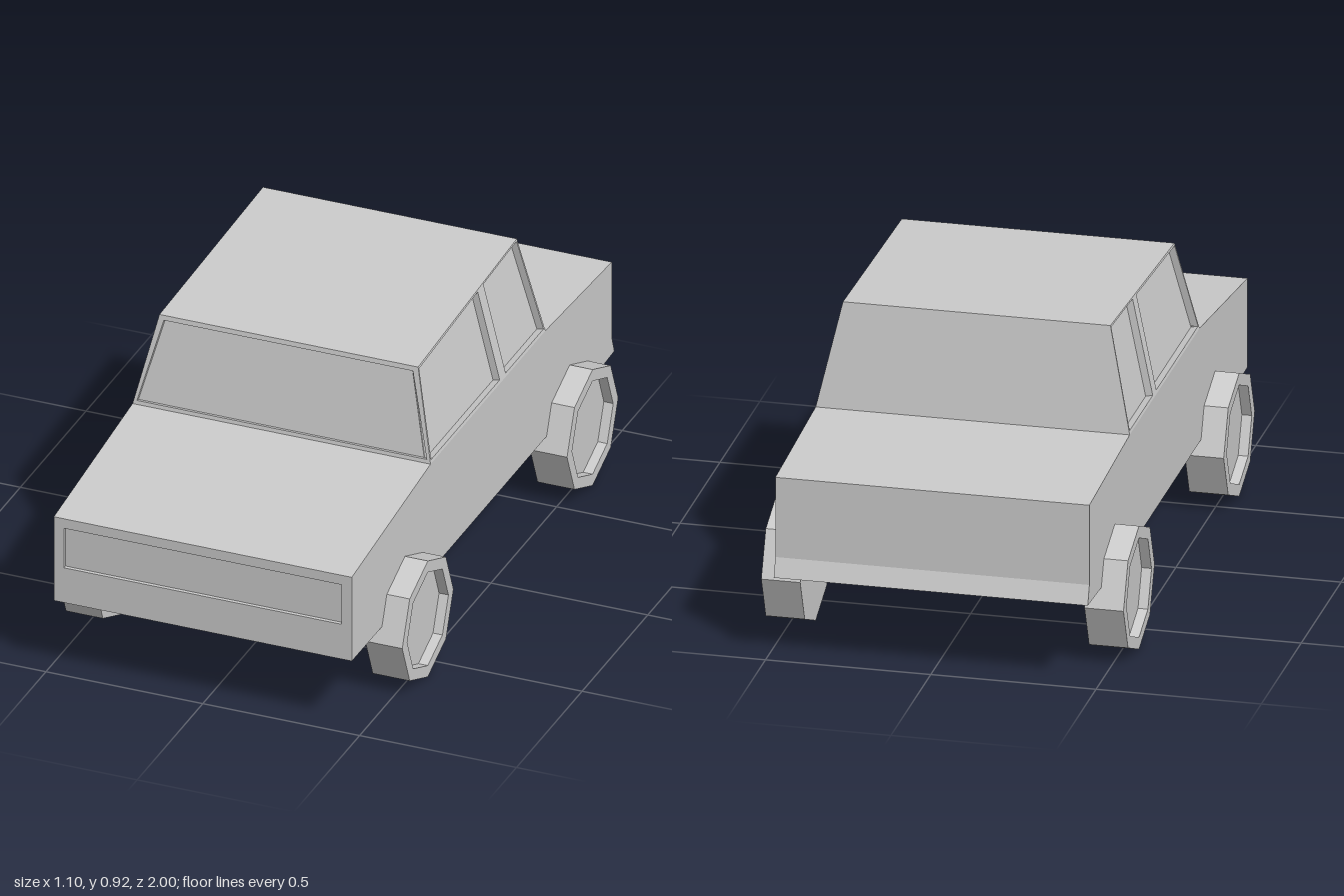
import * as THREE from 'three';
import { mergeGeometries } from 'three/addons/utils/BufferGeometryUtils.js';

const V = (x, y, z) => new THREE.Vector3(x, y, z);
const material = new THREE.MeshStandardMaterial({ color: 0xcccccc, flatShading: true });

// Flat polygon (corners counter-clockwise from outside) with recessed panels in it.
function panel(corners, holes = [], depth = 0.02) {
  const o = corners[0];
  const u = corners[1].clone().sub(o).normalize();
  const n = u.clone().cross(corners[corners.length - 1].clone().sub(o)).normalize();
  const v = n.clone().cross(u);
  const frame = new THREE.Matrix4().makeBasis(u, v, n).setPosition(o);
  const flat = (p) => {
    const d = p.clone().sub(o);
    return new THREE.Vector2(d.dot(u), d.dot(v));
  };
  const face = new THREE.Shape(corners.map(flat));
  const parts = [];
  for (const hole of holes) {
    const pts = hole.map(flat);
    face.holes.push(new THREE.Path(pts));
    parts.push(new THREE.ShapeGeometry(new THREE.Shape(pts)).translate(0, 0, -depth).toNonIndexed());
    // Walls running from the rim down to the recessed pane
    const walls = [];
    pts.forEach((a, i) => {
      const b = pts[(i + 1) % pts.length];
      walls.push(V(a.x, a.y, 0), V(b.x, b.y, 0), V(b.x, b.y, -depth));
      walls.push(V(a.x, a.y, 0), V(b.x, b.y, -depth), V(a.x, a.y, -depth));
    });
    parts.push(new THREE.BufferGeometry().setFromPoints(walls));
  }
  parts.push(new THREE.ShapeGeometry(face).toNonIndexed());
  parts.forEach((g) => { g.deleteAttribute('uv'); g.deleteAttribute('normal'); });
  const geometry = mergeGeometries(parts).applyMatrix4(frame);
  geometry.computeVertexNormals();
  return geometry;
}

function addMesh(parent, name, geometry) {
  const mesh = new THREE.Mesh(geometry, material);
  mesh.name = name;
  parent.add(mesh);
  return mesh;
}

// Mirror a list of points to the given side, keeping the winding outward.
const toSide = (pts, s) => {
  const out = pts.map((p) => V(p.x * s, p.y, p.z));
  return s > 0 ? out : out.reverse();
};

const W = 0.475;

function makeBody() {
  const body = new THREE.Group();
  body.name = 'body';
  // Side profile as [z, y]
  const profile = [
    [1, 0.245], [0.5, 0.24], [-0.55, 0.24], [-1, 0.262], [-0.98, 0.32],
    [-0.98, 0.572], [-0.475, 0.6], [0.4, 0.6], [1, 0.527],
  ];
  const names = ['frontUnderside', 'underside', 'rearUnderside', 'rearBumper', 'tailgate',
    'rearDeck', 'cabinFloor', 'hood', 'frontPanel'];
  const grille = [V(-0.443, 0.362, 1), V(0.443, 0.362, 1), V(0.443, 0.495, 1), V(-0.443, 0.495, 1)];
  profile.forEach(([z, y], i) => {
    const [z2, y2] = profile[(i + 1) % profile.length];
    const quad = [V(W, y, z), V(-W, y, z), V(-W, y2, z2), V(W, y2, z2)];
    addMesh(body, names[i], panel(quad, names[i] === 'frontPanel' ? [grille] : [], 0.012));
  });
  const side = profile.map(([z, y]) => V(W, y, z));
  addMesh(body, 'leftSide', panel(toSide(side, 1)));
  addMesh(body, 'rightSide', panel(toSide(side, -1)));
  return body;
}

function makeCabin() {
  const cabin = new THREE.Group();
  cabin.name = 'cabin';
  const onSide = ([z, y]) => V(W - (y - 0.6) * 0.22, y, z);
  const onFront = ([x, y]) => V(x, y, 0.4 - (y - 0.6) * 0.193);
  // Front bottom, rear bottom, rear top, front top of one side
  const side = [[0.4, 0.6], [-0.475, 0.6], [-0.425, 0.92], [0.345, 0.885]].map(onSide);
  const windows = [
    [[0.39, 0.61], [-0.132, 0.61], [-0.117, 0.9], [0.341, 0.878]],
    [[-0.177, 0.61], [-0.466, 0.61], [-0.42, 0.914], [-0.162, 0.903]],
  ].map((w) => w.map(onSide));
  const [fb, rb, rt, ft] = side;
  const flip = (p) => V(-p.x, p.y, p.z);
  for (const s of [1, -1]) {
    addMesh(cabin, s > 0 ? 'leftWindows' : 'rightWindows',
      panel(toSide(side, s), windows.map((w) => toSide(w, s)), 0.022));
  }
  const windshield = [[-0.462, 0.612], [0.462, 0.612], [0.397, 0.87], [-0.397, 0.87]].map(onFront);
  addMesh(cabin, 'windshield', panel([flip(fb), fb, ft, flip(ft)], [windshield], 0.012));
  addMesh(cabin, 'rearWall', panel([rb, flip(rb), flip(rt), rt]));
  addMesh(cabin, 'roof', panel([flip(ft), ft, rt, flip(rt)]));
  return cabin;
}

// Eight-sided wheel with a sunken hub on its outer face
function makeWheel() {
  const h = 0.059, R = 0.195, r = 0.157, sink = 0.03;
  const pts = [[0, -h], [R, -h], [R, h], [r, h], [r, h - sink], [0, h - sink]];
  return new THREE.LatheGeometry(pts.map(([x, y]) => new THREE.Vector2(x, y)), 8);
}

export function createModel() {
  const model = new THREE.Group();
  model.name = 'car';
  model.add(makeBody(), makeCabin());
  const wheel = makeWheel();
  for (const s of [1, -1]) {
    for (const [end, z] of [['front', 0.595], ['rear', -0.66]]) {
      const mesh = addMesh(model, end + (s > 0 ? 'Left' : 'Right') + 'Wheel', wheel);
      mesh.position.set(s * 0.489, 0.195, z);
      mesh.rotation.z = -s * Math.PI / 2;
    }
  }
  return model;
}
